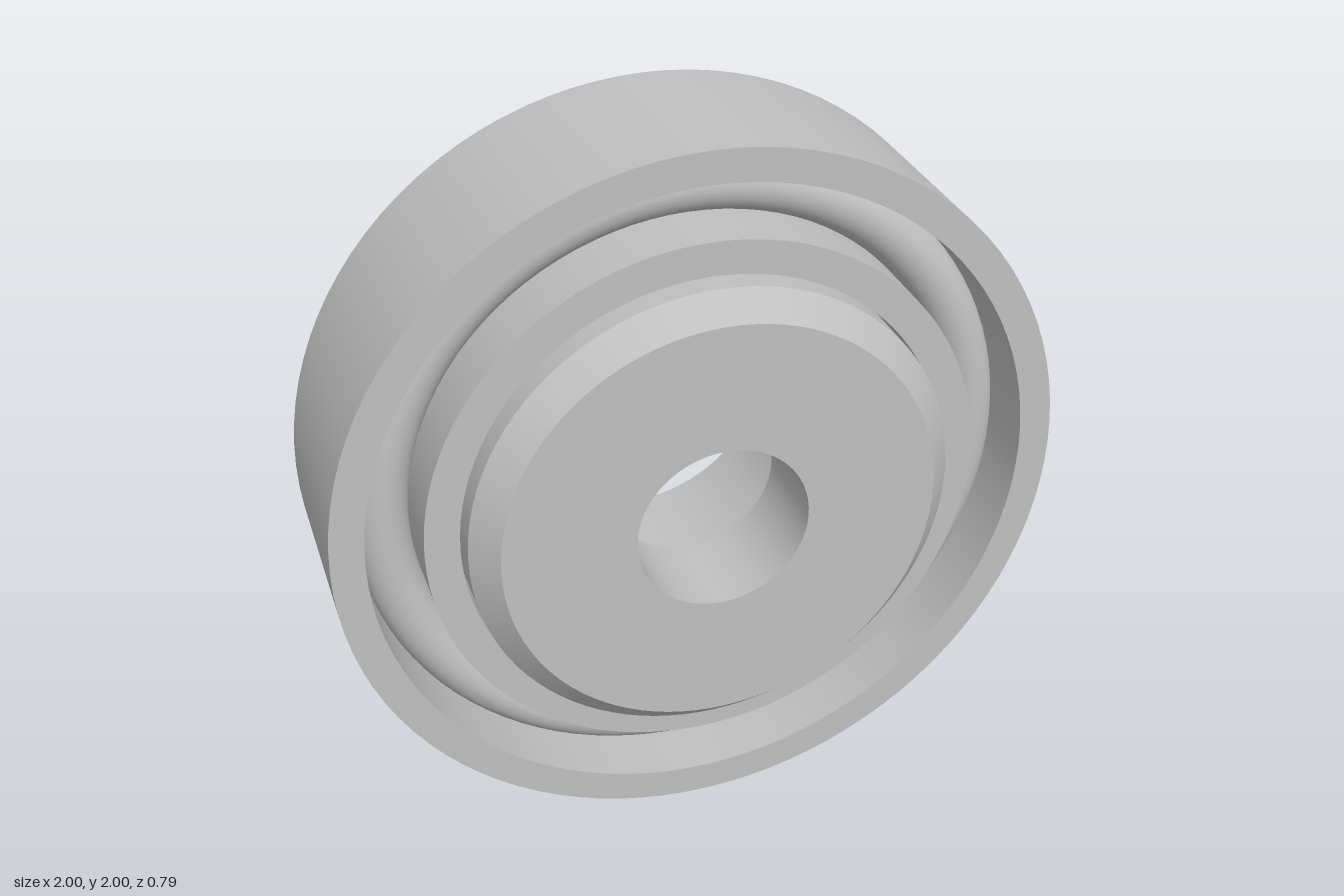
import * as THREE from 'three';
import { toCreasedNormals } from 'three/addons/utils/BufferGeometryUtils.js';

export function createModel() {
  const model = new THREE.Group();
  model.name = 'bearingAssembly';
  const steel = new THREE.MeshStandardMaterial({ color: 0xc0c0c0 });
  steel.name = 'steel grey';

  // Revolve a closed [radius, z] profile (counter-clockwise) about the z axis
  function revolve(name, profile) {
    const points = [...profile, profile[0]].map(([r, z]) => new THREE.Vector2(r, z));
    const geometry = new THREE.LatheGeometry(points, 96);
    geometry.rotateX(Math.PI / 2);
    const mesh = new THREE.Mesh(toCreasedNormals(geometry, 0.5), steel);
    mesh.name = name;
    mesh.position.y = 1;
    model.add(mesh);
  }

  const front = 0.27, back = -0.26;

  revolve('outerRing', [[0.91, back], [1, back], [1, front], [0.91, front]]);
  revolve('innerRing', [[0.667, back], [0.76, back], [0.76, front], [0.667, front]]);

  // Rolling ring with rounded front and back, between the two races
  const rolling = [];
  const mid = 0.835, radius = 0.075, half = 0.07;
  for (const side of [1, -1]) {
    for (let i = 0; i <= 16; i++) {
      const a = (i / 16) * Math.PI;
      rolling.push([
        mid + side * radius * Math.cos(a),
        side * (half + radius * Math.sin(a)),
      ]);
    }
  }
  revolve('rollingRing', rolling);

  // Hub: back flange, chamfered front boss, through hole and rear counterbore
  revolve('hub', [
    [0.415, -0.395], [0.865, -0.395], [0.865, back], [0.66, back],
    [0.66, 0.325], [0.592, 0.395], [0.235, 0.395], [0.235, 0.125], [0.415, 0.125],
  ]);

  return model;
}
